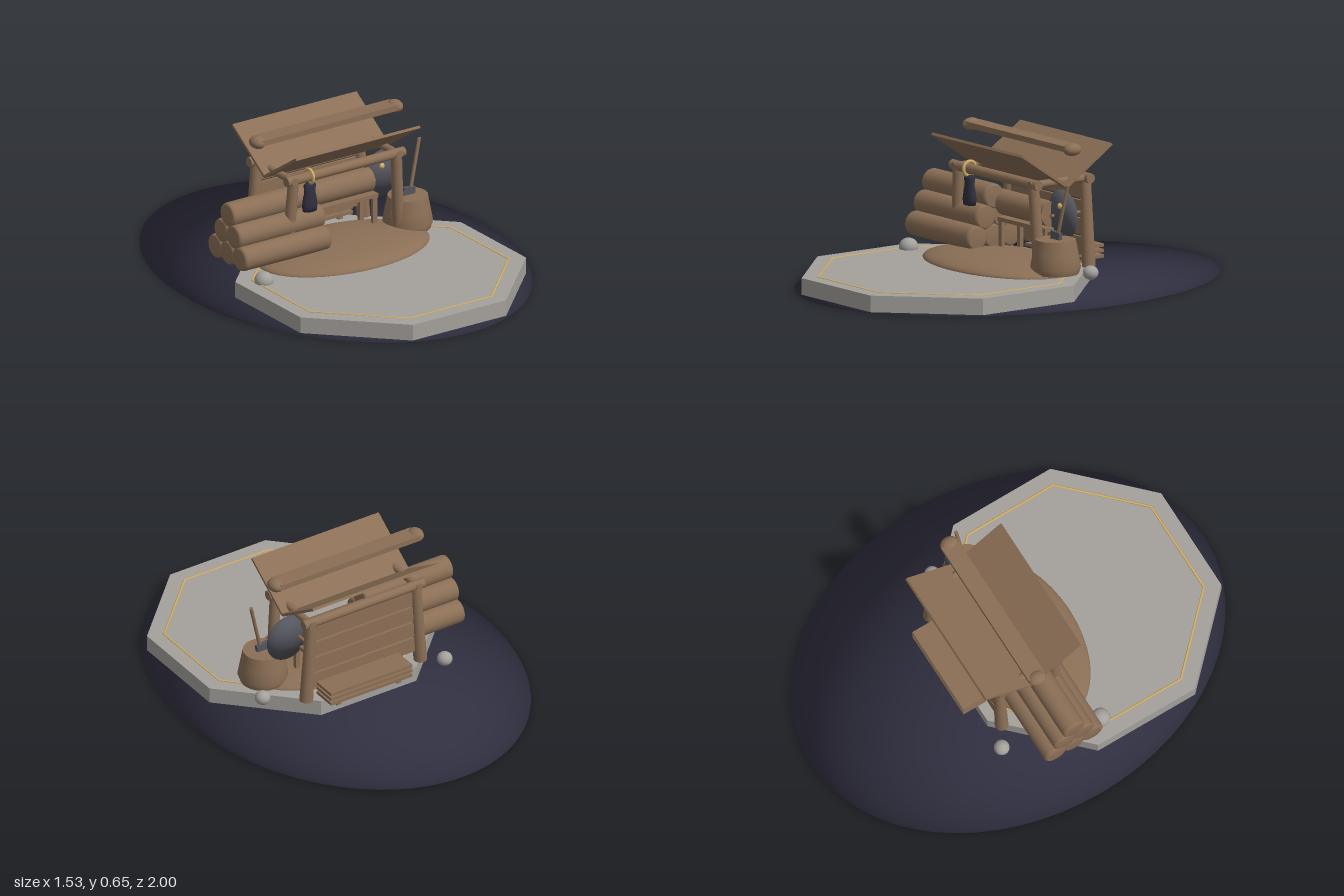
import * as THREE from 'three';

const material = (name, color) => {
  const m = new THREE.MeshStandardMaterial({ color });
  m.name = name;
  return m;
};

export function createModel() {
  const model = new THREE.Group();
  const wood = material('wood', 0x8b6f56);
  const stone = material('paleStone', 0xa4a19c);
  const night = material('darkGround', 0x302f40);
  const iron = material('iron', 0x54555e);
  const brass = material('brass', 0xd0ae68);

  const add = (name, geometry, mat, x = 0, y = 0, z = 0) => {
    const mesh = new THREE.Mesh(geometry, mat);
    mesh.name = name;
    mesh.position.set(x, y, z);
    model.add(mesh);
    return mesh;
  };
  const box = (name, mat, w, h, d, x, y, z) => add(name, new THREE.BoxGeometry(w, h, d), mat, x, y, z);
  const ball = (name, mat, rx, ry, rz, x, y, z) =>
    add(name, new THREE.SphereGeometry(1, 32, 20).scale(rx, ry, rz), mat, x, y, z);
  // Squashed ball that keeps its round normals, so a thin disc still shades softly
  const softDisc = (name, mat, rx, ry, rz, x, y, z) => {
    const geometry = new THREE.SphereGeometry(1, 64, 32);
    geometry.attributes.position.applyMatrix4(new THREE.Matrix4().makeScale(rx, ry, rz));
    return add(name, geometry, mat, x, y, z);
  };
  const lathe = (points, sides) =>
    new THREE.LatheGeometry(points.map(([x, y]) => new THREE.Vector2(x, y)), sides);
  // Round bar from point a to point b
  const rod = (name, mat, a, b, ra, rb = ra, sides = 20) => {
    const p = new THREE.Vector3(...a), q = new THREE.Vector3(...b);
    const mesh = add(name, new THREE.CylinderGeometry(rb, ra, p.distanceTo(q), sides), mat);
    mesh.position.copy(p).add(q).multiplyScalar(0.5);
    mesh.quaternion.setFromUnitVectors(new THREE.Vector3(0, 1, 0), q.sub(p).normalize());
    return mesh;
  };

  // Ground disc, octagonal platform, inlay and earth mound
  softDisc('groundDisc', night, 0.767, 0.0015, 1, 0, 0.0015, 0);
  const platform = new THREE.CylinderGeometry(0.644, 0.644, 0.0746, 8).rotateY(Math.PI / 8).toNonIndexed();
  platform.computeVertexNormals();
  add('platform', platform, stone, 0, 0.0377, 0.337);
  const inlay = new THREE.TorusGeometry(0.568, 0.006, 6, 8).rotateZ(Math.PI / 8).rotateX(Math.PI / 2);
  inlay.scale(1, 0.6, 1);
  add('platformInlay', inlay, brass, 0, 0.075, 0.337);
  add('mound', new THREE.SphereGeometry(1, 40, 12, 0, Math.PI * 2, 0, Math.PI / 2).scale(0.42, 0.058, 0.258),
    wood, 0, 0.074, 0.055);

  // Scattered stones
  [[-0.495, 0.085, 0.165, 0.042], [-0.385, 0.075, -0.27, 0.034], [0.45, 0.085, -0.108, 0.034]]
    .forEach(([x, y, z, r]) => ball('looseStone', stone, r, r * 0.92, r, x, y, z));

  // Shelter frame
  for (const s of [-1, 1]) {
    rod('frontPost', wood, [s * 0.295, 0.09, 0.053], [s * 0.27, 0.465, 0.066], 0.027, 0.024);
    rod('backPost', wood, [s * 0.295, 0.075, -0.215], [s * 0.27, 0.465, -0.215], 0.03, 0.024);
    rod('sideBeam', wood, [s * 0.275, 0.464, 0.09], [s * 0.275, 0.464, -0.24], 0.017);
  }
  for (const z of [0.067, -0.215]) rod('crossBeam', wood, [-0.31, 0.465, z], [0.31, 0.465, z], 0.022);

  // Back wall boards
  for (let i = 0; i < 4; i++) box('wallBoard', wood, 0.53, 0.07, 0.014, 0, 0.165 + i * 0.08, -0.215);

  // Upswept roof panels and ridge bar
  const slope = Math.atan2(0.16, 0.24);
  for (const s of [-1, 1]) {
    const panel = box('roofPanel', wood, 0.655, 0.012, 0.292, 0, 0.528, -0.075 + s * 0.12);
    panel.rotation.x = -s * slope;
  }
  box('ridgeBar', wood, 0.72, 0.025, 0.08, 0, 0.622, -0.077);
  for (const s of [-1, 1]) ball('ridgeKnob', wood, 0.034, 0.028, 0.042, s * 0.362, 0.618, -0.075);

  // Log pile: three rows of logs with softened ends
  const log = lathe([[0, -0.23], [0.044, -0.229], [0.052, -0.224], [0.055, -0.214],
    [0.055, 0.214], [0.052, 0.224], [0.044, 0.229], [0, 0.23]], 24).rotateZ(Math.PI / 2);
  for (let row = 0; row < 3; row++) {
    for (let i = 0; i < 3 - row; i++) {
      add('log', log, wood, -0.34, 0.17 + row * 0.0875, -0.012 + (i - (2 - row) / 2) * 0.092);
    }
  }

  // Inner drum and low bench
  rod('drum', wood, [-0.22, 0.312, -0.07], [0.22, 0.312, -0.07], 0.055, 0.055, 24);
  rod('drumBracket', wood, [0.24, 0.308, -0.05], [0.24, 0.308, -0.215], 0.007);
  box('benchTop', wood, 0.34, 0.018, 0.12, 0.068, 0.247, -0.08);
  for (const x of [-0.085, 0.222]) {
    for (const z of [-0.03, -0.13]) box('benchLeg', wood, 0.022, 0.165, 0.018, x, 0.157, z);
  }

  // Plank stack behind
  for (let i = 0; i < 3; i++) box('stackedPlank', wood, 0.42, 0.014, 0.115, 0.035, 0.1 + i * 0.024, -0.278);
  for (const x of [-0.12, 0.19]) box('plankSpacer', wood, 0.025, 0.075, 0.08, x, 0.105, -0.275);

  // Thin round shield with boss
  softDisc('shield', iron, 0.107, 0.11, 0.006, 0.298, 0.322, -0.072);
  ball('shieldBoss', brass, 0.013, 0.013, 0.01, 0.287, 0.358, -0.064);

  // Chopping stump with axe
  add('stump', lathe([[0.1, 0.085], [0.11, 0.115], [0.1, 0.17], [0.088, 0.235]], 28), wood, 0.366, 0, 0.018);
  add('stumpTop', new THREE.CircleGeometry(0.088, 28).rotateX(-Math.PI / 2), wood, 0.366, 0.235, 0.018);
  const head = box('axeHead', iron, 0.06, 0.045, 0.018, 0.37, 0.246, 0.018);
  head.rotation.z = -0.1;
  rod('axeHandle', wood, [0.38, 0.25, 0.018], [0.436, 0.48, 0.005], 0.008);

  // Dark hanging bundle on a brass ring
  add('hangingRing', new THREE.TorusGeometry(0.032, 0.007, 10, 28).rotateY(Math.PI / 2), brass, -0.187, 0.466, 0.067);
  const bundle = lathe([[0.002, 0.302], [0.034, 0.306], [0.038, 0.33], [0.033, 0.365],
    [0.027, 0.39], [0.03, 0.425], [0.018, 0.438], [0.002, 0.44]], 20).scale(1, 1, 0.65);
  add('hangingBundle', bundle, night, -0.186, 0, 0.068);

  return model;
}
